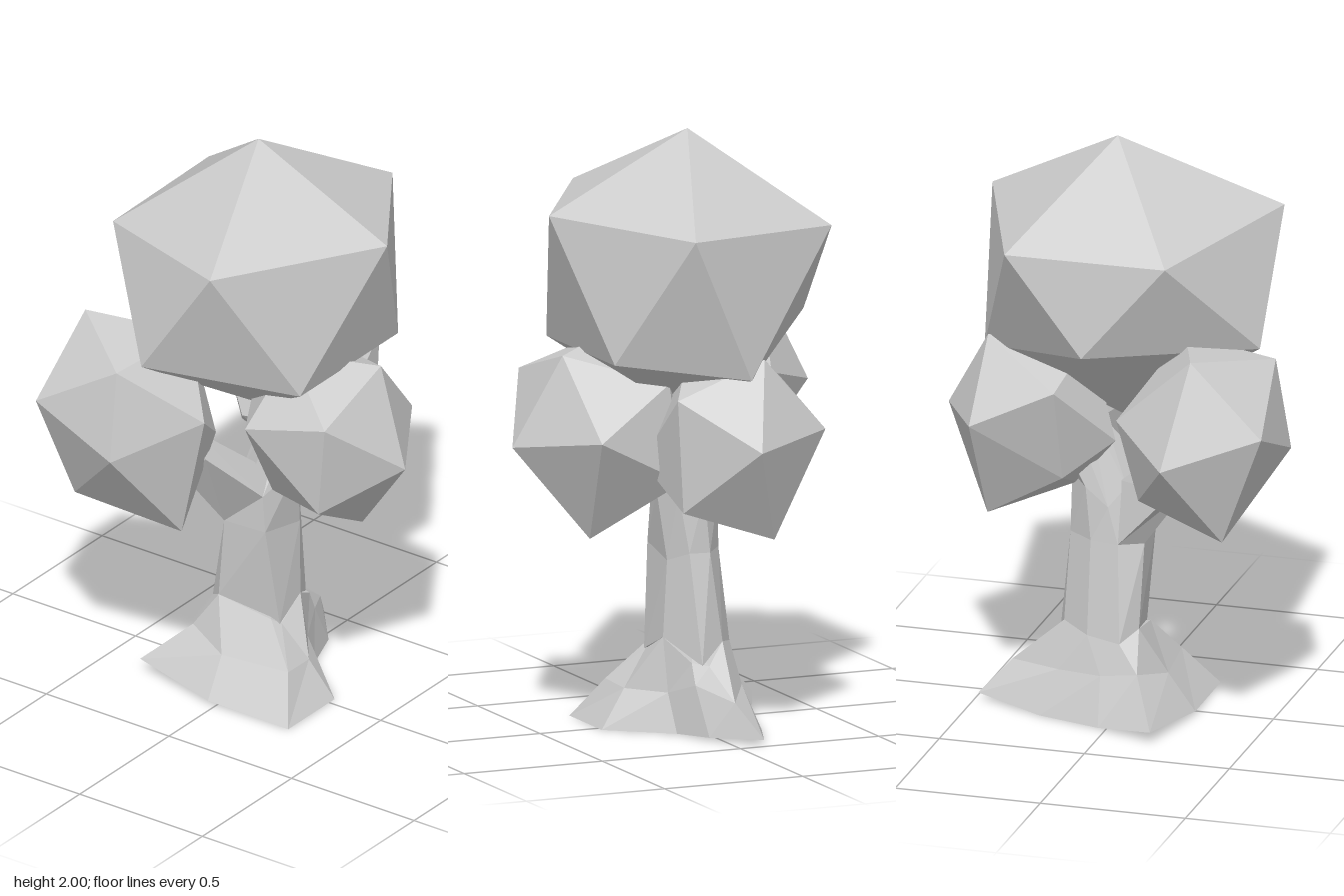
import * as THREE from 'three';
import { ConvexGeometry } from 'three/addons/geometries/ConvexGeometry.js';

const grey = new THREE.MeshStandardMaterial({ color: 0xcccccc, flatShading: true });
grey.name = 'paleGrey';

function addMesh(group, name, geometry) {
  const mesh = new THREE.Mesh(geometry, grey);
  mesh.name = name;
  group.add(mesh);
}

// Faceted leaf ball: an irregular twenty-sided hull around twelve corners
function leafBall(corners) {
  return new ConvexGeometry(corners.map((p) => new THREE.Vector3(...p)));
}

// Closed flat-shaded skin over equal-length rings, listed from the root outwards
function loft(rings) {
  const n = rings[0].length;
  const pos = [];
  const tri = (...pts) => pts.forEach((p) => pos.push(...p));
  const middle = (ring) => [0, 1, 2].map((k) => ring.reduce((sum, p) => sum + p[k], 0) / n);
  const last = rings[rings.length - 1];
  for (let i = 0; i < n; i++) {
    const j = (i + 1) % n;
    for (let r = 0; r < rings.length - 1; r++) {
      const [lo, hi] = [rings[r], rings[r + 1]];
      tri(lo[i], lo[j], hi[j]);
      tri(lo[i], hi[j], hi[i]);
    }
    tri(middle(rings[0]), rings[0][j], rings[0][i]);
    tri(middle(last), last[i], last[j]);
  }
  const g = new THREE.BufferGeometry();
  g.setAttribute('position', new THREE.Float32BufferAttribute(pos, 3));
  g.computeVertexNormals();
  return g;
}

export function createModel() {
  const tree = new THREE.Group();
  tree.name = 'tree';

  // Flared roots, with a notch on the right-hand back side
  addMesh(tree, 'roots', loft([
    [[-0.35, 0.04, 0.18], [-0.03, 0.01, 0.24], [0.29, 0, 0.23], [0.29, 0, -0.03], [0.09, 0, -0.19],
      [0.04, 0.01, -0.34], [-0.09, 0.02, -0.49], [-0.19, 0, -0.25], [-0.25, 0, -0.03]],
    [[-0.2, 0.18, 0.09], [-0.04, 0.14, 0.15], [0.21, 0.14, 0.12], [0.2, 0.13, -0.01], [0.1, 0.13, -0.14],
      [0.05, 0.17, -0.25], [-0.03, 0.13, -0.39], [-0.14, 0.15, -0.2], [-0.19, 0.16, -0.04]],
    [[-0.17, 0.27, 0.02], [-0.11, 0.31, 0.07], [0.09, 0.27, 0.05], [0.11, 0.25, 0.02], [0.1, 0.31, -0.1],
      [0.05, 0.24, -0.22], [0, 0.23, -0.25], [-0.07, 0.3, -0.2], [-0.14, 0.28, -0.1]],
  ]));

  // Trunk: narrow stem, then a taper leaning back into the foliage
  addMesh(tree, 'trunk', loft([
    [[-0.17, 0.27, 0.02], [-0.11, 0.31, 0.07], [0.11, 0.25, 0.03], [0.1, 0.31, -0.1], [0.02, 0.23, -0.24], [-0.07, 0.3, -0.2], [-0.14, 0.28, -0.1]],
    [[-0.12, 0.6, 0], [-0.08, 0.6, 0.08], [0.08, 0.6, 0.07], [0.09, 0.57, -0.11], [0.04, 0.6, -0.18], [-0.03, 0.6, -0.19], [-0.1, 0.6, -0.1]],
    [[-0.1, 0.72, -0.04], [-0.02, 0.77, 0], [0.07, 0.73, 0.07], [0.11, 0.8, -0.07], [0.07, 0.8, -0.16], [-0.01, 0.8, -0.19], [-0.09, 0.78, -0.12]],
    [[-0.06, 1, -0.17], [0, 1.03, -0.14], [0.04, 1.03, -0.11], [0.08, 1, -0.13], [0.08, 0.98, -0.2], [0, 0.98, -0.26], [-0.06, 0.98, -0.24]],
  ]));

  // Branch forking forwards
  addMesh(tree, 'frontBranch', loft([
    [[-0.12, 0.6, 0], [-0.08, 0.6, 0.08], [0.07, 0.73, 0.07], [-0.02, 0.79, -0.02]],
    [[-0.23, 0.84, 0.22], [-0.13, 0.82, 0.24], [-0.04, 0.91, 0.24], [-0.12, 0.98, 0.2]],
  ]));

  // Foliage: near tip and its ring, then the far ring and far tip
  addMesh(tree, 'crownFoliage', leafBall([
    [-0.02, 2, -0.03], [-0.41, 1.69, 0.25], [0.16, 1.75, 0.49],
    [0.49, 1.75, -0.05], [0.17, 1.72, -0.52], [-0.42, 1.69, -0.3],
    [-0.12, 1.34, 0.49], [0.36, 1.28, 0.26], [0.36, 1.28, -0.29],
    [-0.05, 1.23, -0.48], [-0.44, 1.36, -0.03], [0, 1.02, -0.02],
  ]));
  addMesh(tree, 'frontFoliage', leafBall([
    [-0.6, 1.05, 0.29], [-0.45, 1.39, 0.35], [-0.47, 1.15, 0.6],
    [-0.42, 0.76, 0.45], [-0.17, 1.33, 0.56], [-0.16, 1.02, 0.61],
    [0.05, 1.13, 0.37], [-0.05, 0.69, 0.36], [-0.07, 0.96, 0.14],
    [-0.11, 1.36, 0.23], [-0.35, 0.85, 0.14], [-0.37, 1.13, 0.07],
  ]));
  addMesh(tree, 'sideFoliage', leafBall([
    [0.6, 0.97, 0], [0.46, 1.18, 0.26], [0.42, 0.85, 0.24],
    [0.36, 0.66, -0.09], [0.41, 1.02, -0.3], [0.45, 1.28, -0.07],
    [0.15, 1.1, 0.28], [0.11, 0.77, 0.07], [0.1, 0.86, -0.26],
    [0.14, 1.19, -0.24], [0.2, 1.32, 0.09], [-0.02, 1.07, 0],
  ]));
  addMesh(tree, 'backFoliage', leafBall([
    [-0.03, 1.01, -0.61], [-0.11, 1.29, -0.45], [-0.33, 1.04, -0.45],
    [-0.15, 0.68, -0.44], [0.17, 0.79, -0.42], [0.19, 1.17, -0.42],
    [-0.29, 1.17, -0.17], [-0.19, 0.84, -0.17], [-0.02, 0.77, -0.17],
    [0.2, 0.92, -0.15], [0.03, 1.26, -0.14], [-0.08, 0.95, -0.02],
  ]));

  return tree;
}
